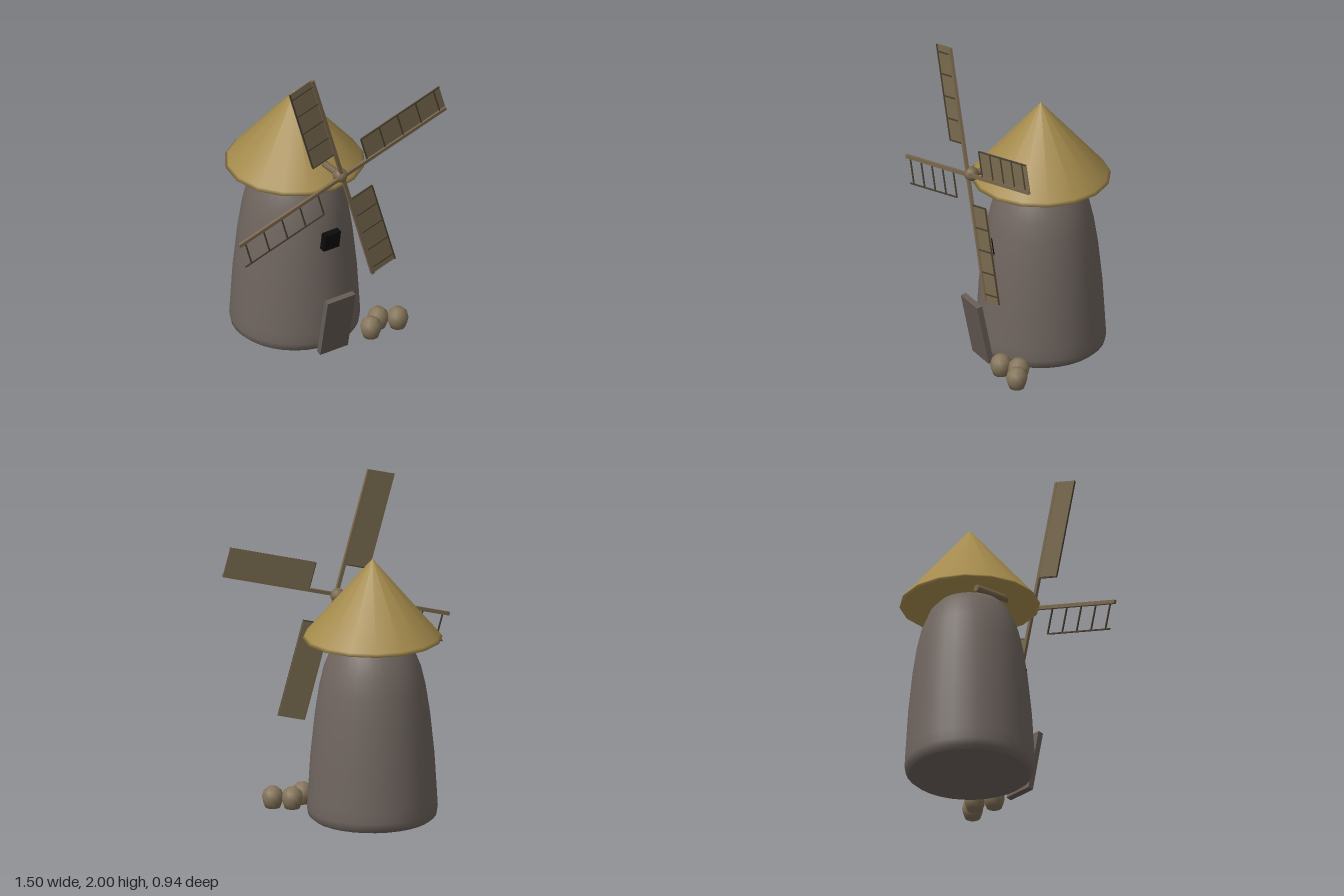
import * as THREE from 'three';

const material = (name, color, side = THREE.FrontSide) => {
  const m = new THREE.MeshStandardMaterial({ color, side });
  m.name = name;
  return m;
};

export function createModel() {
  const stone = material('stone', 0x6f655f);
  const thatch = material('thatch', 0xa48a4c, THREE.DoubleSide);
  const wood = material('wood', 0x7a684e);
  const canvas = material('canvas', 0x7a6b50);
  const lattice = material('lattice', 0x4a4030);
  const doorWood = material('doorWood', 0x665c55);
  const black = material('black', 0x0b0b0b);
  const sackCloth = material('sackCloth', 0x84745a);

  const mill = new THREE.Group();
  mill.name = 'windmill';

  const add = (parent, name, geometry, mat, x = 0, y = 0, z = 0) => {
    const mesh = new THREE.Mesh(geometry, mat);
    mesh.name = name;
    mesh.position.set(x, y, z);
    parent.add(mesh);
    return mesh;
  };
  const box = (w, h, d) => new THREE.BoxGeometry(w, h, d);
  const lathe = (points, sides) =>
    new THREE.LatheGeometry(points.map(([r, y]) => new THREE.Vector2(r, y)), sides);

  // Tower: tapered wall with rounded shoulders, closed by a flat floor
  add(mill, 'tower', lathe([
    [0.36, 0.01], [0.383, 0.03], [0.39, 0.07], [0.386, 0.14], [0.37, 0.4], [0.344, 0.65],
    [0.318, 0.82], [0.29, 0.94], [0.24, 1.06], [0.185, 1.12], [0.09, 1.15], [0, 1.155],
  ], 32), stone, 0, 0, -0.05);
  const floor = add(mill, 'towerFloor', new THREE.CircleGeometry(0.36, 32), stone, 0, 0.01, -0.05);
  floor.rotation.x = Math.PI / 2;

  // Roof: hollow thatched cone with a thin rim
  add(mill, 'roof', lathe([
    [0, 1.575], [0.392, 1.12], [0.42, 1.12], [0.404, 1.139], [0.39, 1.155], [0, 1.61],
  ], 16), thatch, 0, 0, -0.05);

  // Door and window lean outwards from the wall
  add(mill, 'door', box(0.2, 0.4, 0.035), doorWood, 0, 0.199, 0.382).rotation.x = 0.2;
  add(mill, 'window', box(0.112, 0.115, 0.04), black, 0, 0.75, 0.323).rotation.x = 0.16;

  // Axle and hub
  const axle = add(mill, 'axle', new THREE.CylinderGeometry(0.021, 0.021, 0.42, 10), wood, 0, 1.25, 0.21);
  axle.rotation.x = Math.PI / 2;
  add(mill, 'hub', new THREE.SphereGeometry(0.045, 12, 8), wood, 0, 1.25, 0.423);

  // Four arms, each with a lattice; the lower left one has lost its canvas
  const rotor = new THREE.Group();
  rotor.name = 'rotor';
  rotor.position.set(0, 1.25, 0.446);
  rotor.rotation.z = 0.286;
  mill.add(rotor);
  for (let i = 0; i < 4; i++) {
    const arm = new THREE.Group();
    arm.name = 'sailArm';
    arm.rotation.z = i * Math.PI / 2;
    rotor.add(arm);
    add(arm, 'spar', box(0.78, 0.022, 0.018), wood, 0.39, 0, 0);
    add(arm, 'rail', box(0.59, 0.008, 0.008), lattice, 0.487, 0.168, 0);
    for (let k = 0; k < 5; k++) {
      add(arm, 'crossbar', box(0.008, 0.168, 0.008), lattice, 0.185 + k * 0.137 + 0.004, 0.086, 0);
    }
    if (i !== 2) add(arm, 'canvas', box(0.59, 0.172, 0.006), canvas, 0.487, 0.086, -0.005);
  }

  // Grain sacks beside the tower
  const sack = lathe([
    [0, 0.01], [0.045, 0.01], [0.058, 0.045], [0.064, 0.075], [0.056, 0.11], [0.032, 0.133], [0, 0.14],
  ], 14);
  for (const [x, z] of [[0.262, 0.367], [0.36, 0.3], [0.457, 0.367]]) {
    add(mill, 'sack', sack, sackCloth, x, 0, z);
  }

  return mill;
}
